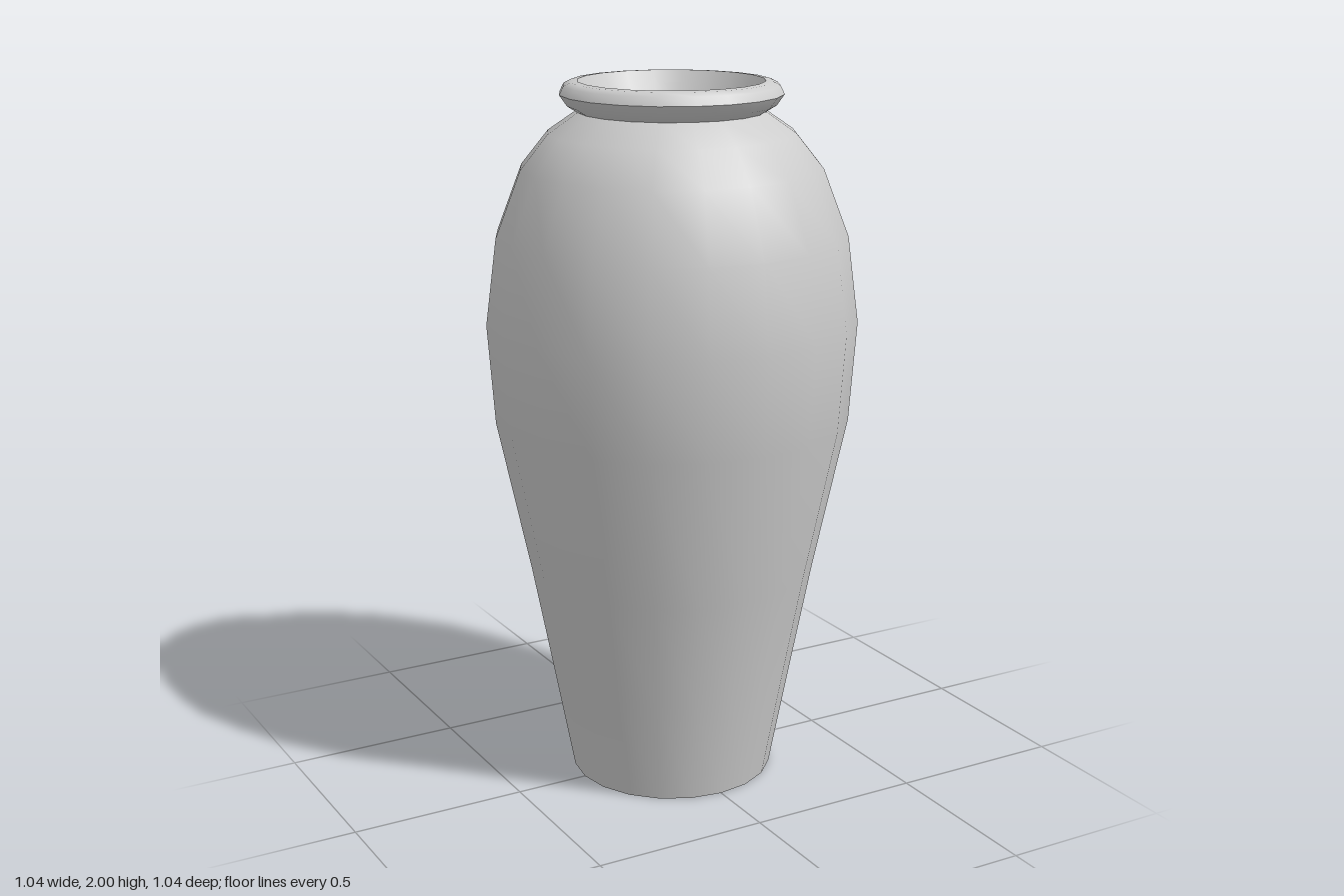
import * as THREE from 'three';

const SIDES = 20;

export function createModel() {
  const vase = new THREE.Group();
  vase.name = 'vase';
  const clay = new THREE.MeshStandardMaterial({ color: 0xcccccc });
  clay.name = 'plain grey clay';

  // One smooth turned surface; the edges between surfaces stay sharp.
  // Profiles run up the outside, over the lip and down the inside.
  function turn(name, profile) {
    const points = profile.map(([r, y]) => new THREE.Vector2(r, y));
    const mesh = new THREE.Mesh(new THREE.LatheGeometry(points, SIDES), clay);
    mesh.name = name;
    vase.add(mesh);
  }

  // Underside and outer wall
  turn('base', [[0, 0], [0.29, 0]]);
  turn('body', [
    [0.29, 0], [0.348, 0.31], [0.407, 0.62], [0.5, 1.06], [0.52, 1.34],
    [0.489, 1.58], [0.418, 1.765], [0.342, 1.86], [0.255, 1.92],
  ]);

  // Rolled rim: undercut, rounded lip, tapering mouth
  turn('rimUnderside', [[0.255, 1.915], [0.287, 1.935], [0.308, 1.965]]);
  turn('rimLip', [[0.308, 1.965], [0.297, 1.988], [0.278, 1.998], [0.257, 2]]);
  turn('mouth', [[0.257, 2], [0.217, 1.92]]);

  // Hollow inside and its floor
  turn('innerWall', [
    [0.217, 1.92], [0.31, 1.84], [0.385, 1.745], [0.455, 1.57],
    [0.485, 1.34], [0.465, 1.06], [0.372, 0.62], [0.313, 0.31], [0.26, 0.04],
  ]);
  turn('innerFloor', [[0.26, 0.04], [0, 0.04]]);

  return vase;
}
